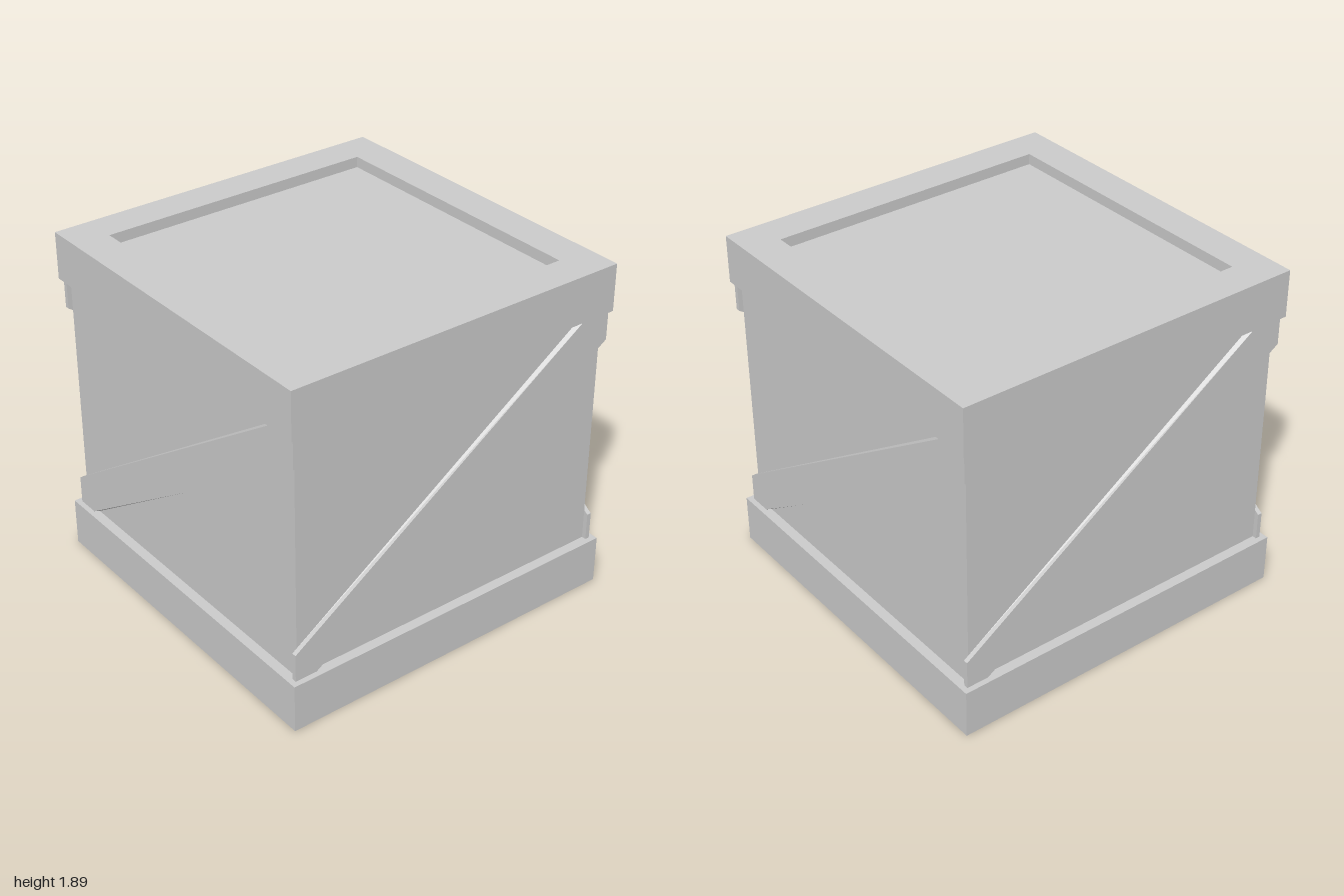
import * as THREE from 'three';

const material = new THREE.MeshStandardMaterial({ color: 0xcccccc, flatShading: true });

const BASE_TOP = 0.27, LID_BOTTOM = 1.63, LID_TOP = 1.89, PANEL_TOP = 1.83;
const BODY = 0.945, BRACE = 0.97, LID = 0.987, HOLE = 0.79;

function addMesh(parent, name, geometry) {
  const mesh = new THREE.Mesh(geometry, material);
  mesh.name = name;
  parent.add(mesh);
  return mesh;
}

// Square block of the given half width between two heights
function addBlock(parent, name, half, y0, y1) {
  const block = addMesh(parent, name, new THREE.BoxGeometry(half * 2, y1 - y0, half * 2));
  block.position.y = (y0 + y1) / 2;
  return block;
}

function square(Type, half) {
  return new Type([[-1, -1], [1, -1], [1, 1], [-1, 1]].map(([x, y]) => new THREE.Vector2(x * half, y * half)));
}

// Diagonal board, cut off by the base, the lid and the crate's corners
function braceGeometry() {
  const outline = [
    [-BRACE, BASE_TOP], [-0.845, BASE_TOP], [BRACE, 1.47],
    [BRACE, LID_BOTTOM], [0.81, LID_BOTTOM], [-BRACE, 0.425],
  ].map(([x, y]) => new THREE.Vector2(x, y));
  const geometry = new THREE.ExtrudeGeometry(new THREE.Shape(outline), { depth: BRACE - BODY, bevelEnabled: false });
  geometry.translate(0, 0, BODY);
  // The long edges splay slightly towards the wall at their wide ends
  const p = geometry.attributes.position;
  for (let i = 0; i < p.count; i++) {
    if (p.getZ(i) > BODY + 0.01) continue;
    if (Math.abs(p.getX(i)) < 0.9) p.setX(i, p.getX(i) - Math.sign(p.getX(i)) * 0.015);
  }
  geometry.computeVertexNormals();
  return geometry;
}

export function createModel() {
  const crate = new THREE.Group();
  crate.name = 'crate';

  addBlock(crate, 'base', 1, 0, BASE_TOP);
  addBlock(crate, 'body', BODY, BASE_TOP, LID_BOTTOM);

  // Lid: a square frame around a sunken panel
  const lid = new THREE.Group();
  lid.name = 'lid';
  lid.position.set(-0.003, 0, 0);
  crate.add(lid);
  const frameShape = square(THREE.Shape, LID);
  frameShape.holes.push(square(THREE.Path, HOLE));
  const frame = new THREE.ExtrudeGeometry(frameShape, { depth: LID_TOP - LID_BOTTOM, bevelEnabled: false });
  frame.rotateX(-Math.PI / 2);
  addMesh(lid, 'lidFrame', frame).position.y = LID_BOTTOM;
  addBlock(lid, 'lidPanel', HOLE, LID_BOTTOM, PANEL_TOP);

  // One brace on each of the four walls
  const brace = braceGeometry();
  ['front', 'left', 'back', 'right'].forEach((side, i) => {
    addMesh(crate, side + 'Brace', brace).rotation.y = i * Math.PI / 2;
  });

  return crate;
}
